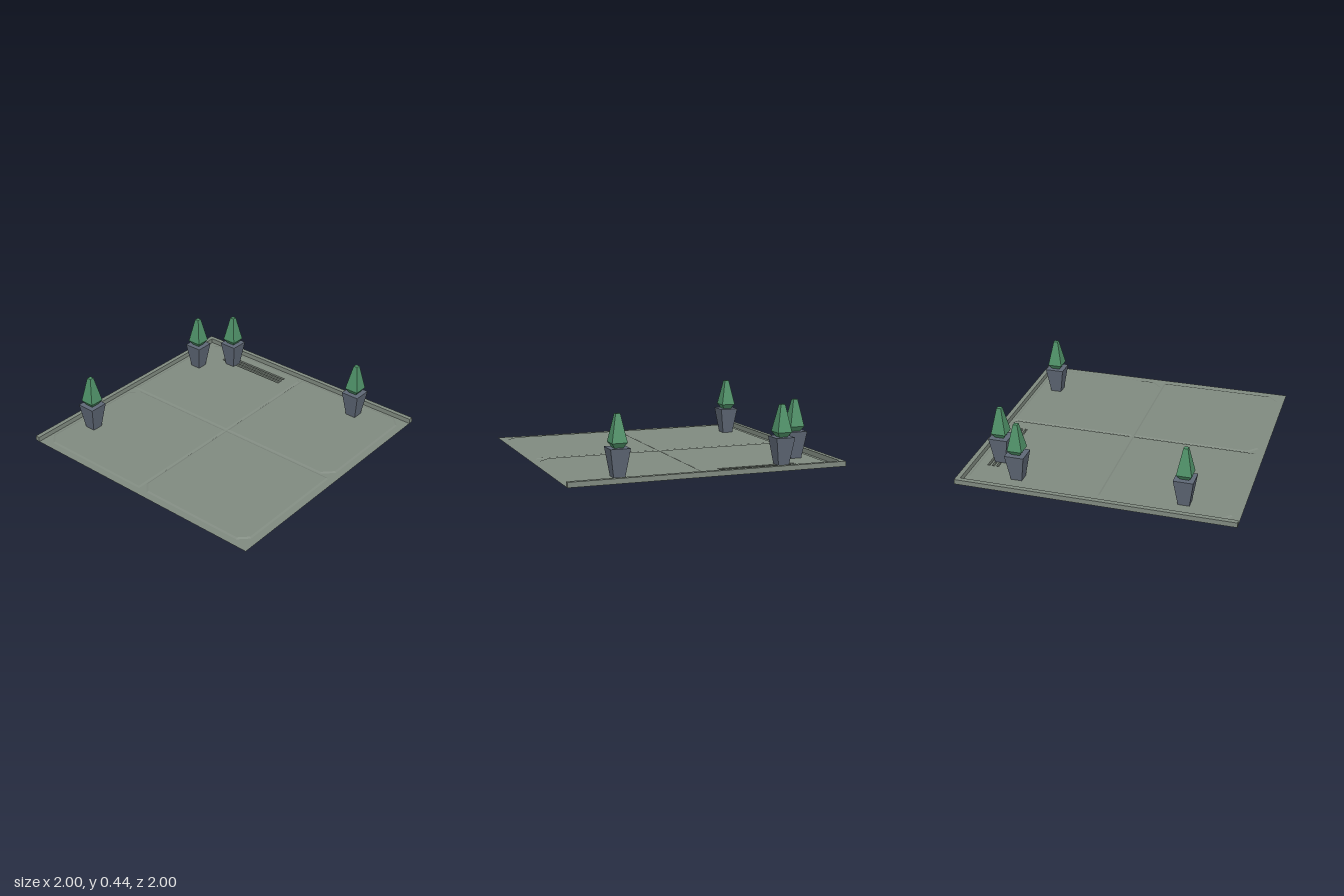
import * as THREE from 'three';

const BASE = 0.014, TOP = 0.02, SLOPE = 0.014;

const floorMat = new THREE.MeshStandardMaterial({ color: 0x808a80, side: THREE.DoubleSide, flatShading: true });
floorMat.name = 'floorGrey';
const potMat = new THREE.MeshStandardMaterial({ color: 0x5f6876, flatShading: true });
potMat.name = 'potSlate';
const leafMat = new THREE.MeshStandardMaterial({ color: 0x4f9168, flatShading: true });
leafMat.name = 'leafGreen';

function add(parent, name, geometry, material) {
  const mesh = new THREE.Mesh(geometry, material);
  mesh.name = name;
  parent.add(mesh);
  return mesh;
}

// Outline of a rectangle in x/z; cuts = corner chamfers [backLeft, backRight, frontRight, frontLeft]
function outline(x0, x1, z0, z1, cuts = [0, 0, 0, 0], inset = 0) {
  x0 += inset; x1 -= inset; z0 += inset; z1 -= inset;
  const [a, b, c, d] = cuts.map((v) => Math.max(v - inset * 0.6, 0.0005));
  return [[x0, z0 + a], [x0 + a, z0], [x1 - b, z0], [x1, z0 + b],
    [x1, z1 - c], [x1 - c, z1], [x0 + d, z1], [x0, z1 - d]];
}

// Horizontal sheet with holes at height y
function sheet(points, holes, y) {
  const flip = (pts) => pts.map(([x, z]) => new THREE.Vector2(x, -z));
  const shape = new THREE.Shape(flip(points));
  for (const h of holes) shape.holes.push(new THREE.Path(flip(h)));
  return new THREE.ShapeGeometry(shape).rotateX(-Math.PI / 2).translate(0, y, 0);
}

// Band of quads joining a lower loop to an upper loop
function band(lower, yLow, upper, yHigh) {
  const pos = [], n = lower.length;
  for (let i = 0; i < n; i++) {
    const j = (i + 1) % n;
    const a = [lower[i][0], yLow, lower[i][1]], b = [lower[j][0], yLow, lower[j][1]];
    const c = [upper[j][0], yHigh, upper[j][1]], d = [upper[i][0], yHigh, upper[i][1]];
    pos.push(...a, ...c, ...b, ...a, ...d, ...c);
  }
  const g = new THREE.BufferGeometry();
  g.setAttribute('position', new THREE.Float32BufferAttribute(pos, 3));
  g.computeVertexNormals();
  return g;
}

export function createModel() {
  const model = new THREE.Group();
  model.name = 'courtyardTile';

  // Drain slots sunk into the back left panel
  const slots = [-0.865, -0.832, -0.799].map((z) => outline(-0.7, -0.12, z - 0.009, z + 0.009));
  for (const s of slots) {
    add(model, 'drainSlotWalls', band(s, 0, s, TOP), floorMat);
    add(model, 'drainSlotBottom', sheet(s, [], 0), floorMat);
  }

  // Four slightly raised paving panels with bevelled borders
  const c = 0.07;
  const panels = [
    { box: [-0.945, -0.002, -0.95, -0.004], cuts: [c, 0.035, 0, 0], holes: slots },
    { box: [0.002, 0.945, -0.95, -0.004], cuts: [0, c, 0.08, 0], holes: [] },
    { box: [-0.945, -0.002, 0.004, 0.945], cuts: [c, 0, 0, c], holes: [] },
    { box: [0.002, 0.945, 0.004, 0.945], cuts: [0, 0, c, c], holes: [] },
  ];
  const footprints = [];
  for (const p of panels) {
    const low = outline(...p.box, p.cuts), high = outline(...p.box, p.cuts, SLOPE);
    footprints.push(low);
    add(model, 'panelBevel', band(low, BASE, high, TOP), floorMat);
    add(model, 'panelTop', sheet(high, p.holes, TOP), floorMat);
  }
  add(model, 'floorBorder', sheet([[-1, -1], [1, -1], [1, 1], [-1, 1]], footprints, BASE), floorMat);

  // Low curbs along the back and one side
  const h = 0.05 - BASE, w = 0.034;
  add(model, 'backCurb', new THREE.BoxGeometry(2, h, w), floorMat).position.set(0, BASE + h / 2, -1 + w / 2);
  add(model, 'sideCurb', new THREE.BoxGeometry(w, h, 2 - w), floorMat).position.set(-1 + w / 2, BASE + h / 2, w / 2);

  // Square tapered planters with clipped shrubs
  const potGeo = new THREE.CylinderGeometry(0.07 * Math.SQRT2, 0.04 * Math.SQRT2, 0.198, 4)
    .rotateY(Math.PI / 4).translate(0, 0.116, 0);
  const profile = [[0.03, 0.214], [0.054, 0.25], [0.016, 0.442], [0, 0.442]]
    .map(([r, y]) => new THREE.Vector2(r * Math.SQRT2, y));
  const shrubGeo = new THREE.LatheGeometry(profile, 4).rotateY(Math.PI / 4);
  for (const [x, z] of [[-0.6, -0.8], [0.6, -0.8], [-0.8, -0.6], [-0.8, 0.6]]) {
    const planter = new THREE.Group();
    planter.name = 'planter';
    planter.position.set(x, 0, z);
    add(planter, 'pot', potGeo, potMat);
    add(planter, 'shrub', shrubGeo, leafMat);
    model.add(planter);
  }
  return model;
}
